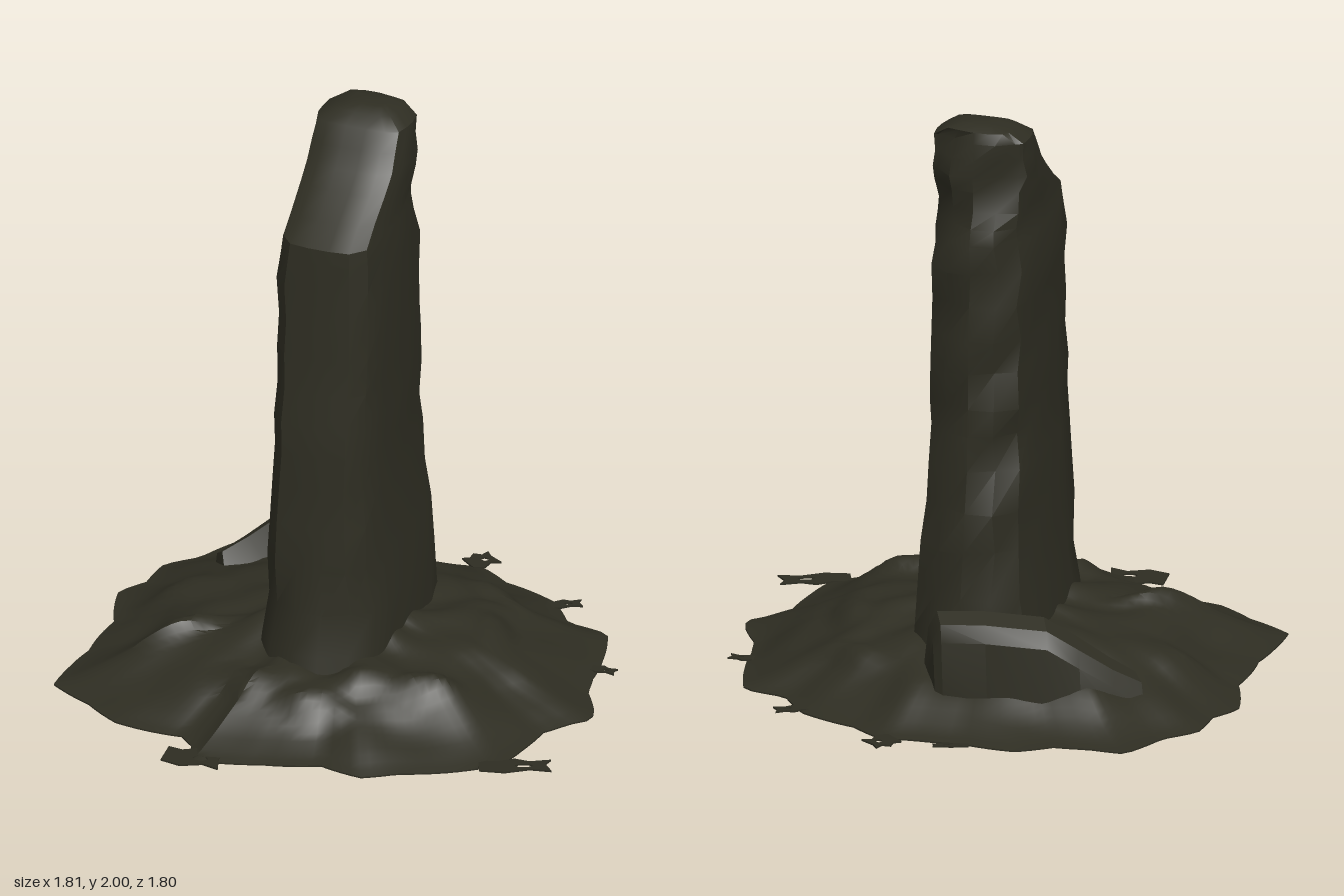
import * as THREE from 'three';
import { toCreasedNormals } from 'three/addons/utils/BufferGeometryUtils.js';

// Skin a stack of closed rings, capping both ends
function loft(rings, crease = 0.5) {
  const n = rings[0].length, pos = [], idx = [];
  const mid = (r) => [0, 1, 2].map((k) => r.reduce((s, p) => s + p[k], 0) / n);
  rings.forEach((r) => r.forEach((p) => pos.push(...p)));
  const m = rings.length, base = m * n;
  pos.push(...mid(rings[0]), ...mid(rings[m - 1]));
  for (let j = 0; j < n; j++) {
    const k = (j + 1) % n;
    for (let i = 0; i < m - 1; i++) {
      const a = i * n + j, b = i * n + k;
      idx.push(a, a + n, b, b, a + n, b + n);
    }
    idx.push(base, j, k, base + 1, (m - 1) * n + k, (m - 1) * n + j);
  }
  const g = new THREE.BufferGeometry();
  g.setAttribute('position', new THREE.Float32BufferAttribute(pos, 3));
  g.setIndex(idx);
  return toCreasedNormals(g, crease);
}

// Piecewise-linear lookup in a list of [key, value]
function lookup(table, t) {
  for (let i = 1; i < table.length; i++) {
    const [a, va] = table[i - 1], [b, vb] = table[i];
    if (t <= b) return va + (vb - va) * (t - a) / (b - a);
  }
  return table[table.length - 1][1];
}

const hash = (a, b) => {
  const s = Math.sin(a * 127.1 + b * 311.7) * 43758.5453;
  return (s - Math.floor(s)) * 2 - 1;
};

// Rim radius by angle in degrees, from +x towards +z
const rim = [[0, 0.88], [4, 0.9], [8, 0.85], [15, 0.81], [24, 0.84], [33, 0.88], [45, 0.84], [56, 0.8], [65, 0.81],
  [75, 0.73], [90, 0.77], [99, 0.82], [105, 0.86], [109, 0.78], [115, 0.75], [130, 0.87], [140, 0.9], [150, 0.98],
  [157, 0.92], [165, 0.86], [180, 0.83], [193, 0.92], [200, 0.89], [208, 0.94], [216, 0.91], [227, 0.96], [233, 0.88],
  [240, 0.83], [249, 0.85], [262, 0.79], [274, 0.8], [281, 0.83], [290, 0.79], [305, 0.82], [316, 0.79], [324, 0.89],
  [335, 0.85], [345, 0.82], [352, 0.82], [360, 0.88]];
const slope = [[0.2, 0.235], [0.35, 0.2], [0.55, 0.17], [0.7, 0.125], [0.85, 0.055], [0.95, 0.016], [1, 0.005]];

// Buried rocks that swell the mound: x, z, length, width, height, turn
const bumps = [[0.16, 0.42, 0.13, 0.07, 0.03, 0.5], [0.42, 0.32, 0.12, 0.07, 0.035, 0.4],
  [0.1, 0.53, 0.13, 0.07, 0.035, 0.1], [-0.17, 0.48, 0.12, 0.08, 0.03, -0.6], [-0.46, 0.24, 0.2, 0.05, 0.03, 0.7],
  [0.48, -0.12, 0.07, 0.13, 0.035, 0.3], [0.36, -0.43, 0.15, 0.06, 0.025, -0.5], [-0.7, -0.06, 0.09, 0.06, 0.02, 0.4]];

function bumpHeight(x, z) {
  return bumps.reduce((sum, [cx, cz, l, w, h, turn]) => {
    const c = Math.cos(turn), s = Math.sin(turn), dx = x - cx, dz = z - cz;
    const d = Math.hypot((dx * c - dz * s) / l, (dx * s + dz * c) / w);
    return sum + h * Math.min(1, Math.max(0, 1.5 - 1.4 * d));
  }, 0);
}

function mound() {
  const n = 144, rings = [];
  const ring = (t, flat) => Array.from({ length: n }, (_, j) => {
    const a = (j / n) * Math.PI * 2, r = lookup(rim, (j / n) * 360) * t;
    const x = r * Math.cos(a), z = r * Math.sin(a);
    const lump = 0.014 * Math.sin(x * 13 + z * 5) * Math.cos(z * 12 - x * 6) + 0.01 * Math.sin(a * 9 + r * 14);
    const y = lookup(slope, t) + (lump + bumpHeight(x, z)) * Math.min(1, (1 - t) * 4);
    return [x, flat ? 0 : Math.max(0.005, y), z];
  });
  rings.push(ring(1, true));
  for (let i = 0; i <= 24; i++) rings.push(ring(1 - i / 30, false));
  return loft(rings, 0.6);
}

// Standing stone: y, left edge, right edge, front z, back z
const stoneRows = [
  [0.05, -0.23, 0.23, 0.42, -0.43], [0.22, -0.22, 0.22, 0.385, -0.42], [0.36, -0.205, 0.215, 0.35, -0.41],
  [0.52, -0.198, 0.195, 0.34, -0.405], [0.66, -0.195, 0.185, 0.322, -0.395], [0.8, -0.188, 0.175, 0.312, -0.375],
  [0.92, -0.18, 0.175, 0.305, -0.362], [1.02, -0.188, 0.172, 0.295, -0.368], [1.14, -0.182, 0.17, 0.275, -0.36],
  [1.26, -0.188, 0.172, 0.262, -0.37], [1.38, -0.185, 0.168, 0.252, -0.358], [1.5, -0.2, 0.165, 0.238, -0.372],
  [1.6, -0.184, 0.16, 0.232, -0.368], [1.655, -0.178, 0.155, 0.225, -0.35], [1.71, -0.18, 0.15, 0.13, -0.335],
  [1.78, -0.182, 0.155, 0.035, -0.33], [1.83, -0.182, 0.155, -0.025, -0.335], [1.89, -0.18, 0.152, -0.07, -0.33],
  [1.95, -0.175, 0.148, -0.11, -0.325], [1.985, -0.12, 0.1, -0.15, -0.31], [2.0, -0.07, 0.05, -0.19, -0.28]];
const section = [[1, 0], [0.98, 0.4], [0.9, 0.8], [0.64, 0.97], [0.22, 1], [-0.22, 1], [-0.64, 0.97], [-0.9, 0.8],
  [-0.98, 0.4], [-1, 0], [-0.98, -0.5], [-0.88, -0.83], [-0.5, -0.98], [0, -1], [0.5, -0.98], [0.88, -0.83], [0.98, -0.5]];

function standingStone() {
  return loft(stoneRows.map(([y, l, r, f, b], i) => section.map(([u, v], j) => {
    const chip = v < -0.4 && y < 1.96 ? 0.02 : 0.004;   // the back is more weathered
    const x = (l + r) / 2 + u * (r - l) / 2 - Math.sign(u) * Math.abs(hash(i, j)) * chip * 0.6;
    const scallop = v < -0.7 && Math.abs(u) > 0.3 ? chip * (1 + Math.sin(y * 19 + u * 3)) : 0;
    const notch = v < -0.7 && u > 0.6 ? 0.05 * Math.exp(-(((y - 1.75) / 0.1) ** 2)) : 0;
    const foot = y < 0.4 && v > 0.7 && Math.abs(u) > 0.3 ? -0.04 : 0;   // the foot flares mostly in the middle
    return [x, y, (f + b) / 2 + v * (f - b) / 2 + scallop + notch + foot];
  })), 0.6);
}

// Fallen slab: x, z, top height, half width
function fallenSlab() {
  const rows = [[-0.6, -0.36, 0.15, 0.02], [-0.52, -0.41, 0.205, 0.035], [-0.42, -0.465, 0.285, 0.045],
    [-0.32, -0.505, 0.355, 0.045], [-0.12, -0.55, 0.37, 0.045], [0.03, -0.565, 0.36, 0.04], [0.06, -0.56, 0.3, 0.035]];
  return loft(rows.map(([x, z, y, w]) => [
    [x + 0.02, y, z + w], [x - 0.01, y - 0.025, z - w * 0.4], [x - 0.02, y - 0.08, z - w],
    [x - 0.03, 0.04, z - w - 0.01], [x + 0.07, 0.04, z + w + 0.08],
  ]), 0.4);
}

// Ragged scraps at the rim: x, z, length, width, turn
const scraps = [[0.79, 0.48, 0.24, 0.1, 0.4], [-0.22, 0.82, 0.2, 0.14, 0.1], [0.14, -0.85, 0.1, 0.11, 0.9],
  [0.51, -0.66, 0.12, 0.06, 0.5], [0.8, -0.27, 0.1, 0.05, 0], [-0.09, -0.82, 0.12, 0.03, 0.3]];

function scrapGeometry(l, w) {
  const outline = [[-0.5, -0.3], [-0.15, -0.45], [0.2, -0.25], [0.5, -0.4], [0.42, 0.1], [0.5, 0.4], [0.2, 0.3],
    [0, 0.5], [-0.25, 0.32], [-0.5, 0.4]].map(([x, y]) => new THREE.Vector2(x * l, y * w));
  const s = new THREE.Shape(outline);
  s.holes.push(new THREE.Path().absellipse(0.12 * l, 0, 0.13 * l, 0.13 * w, 0, Math.PI * 2, true));
  return new THREE.ExtrudeGeometry(s, { depth: 0.006, bevelEnabled: false, curveSegments: 3 }).rotateX(-Math.PI / 2);
}

export function createModel() {
  const model = new THREE.Group();
  const stone = new THREE.MeshStandardMaterial({ color: 0x2e2d22 });
  stone.name = 'darkStone';
  const add = (name, geometry) => {
    const mesh = new THREE.Mesh(geometry, stone);
    mesh.name = name;
    model.add(mesh);
    return mesh;
  };
  add('mound', mound());
  add('standingStone', standingStone());
  add('fallenSlab', fallenSlab());
  scraps.forEach(([x, z, l, w, turn]) => {
    const scrap = add('rimScrap', scrapGeometry(l, w));
    scrap.position.set(x, 0.006, z);
    scrap.rotation.y = turn;
  });
  return model;
}
